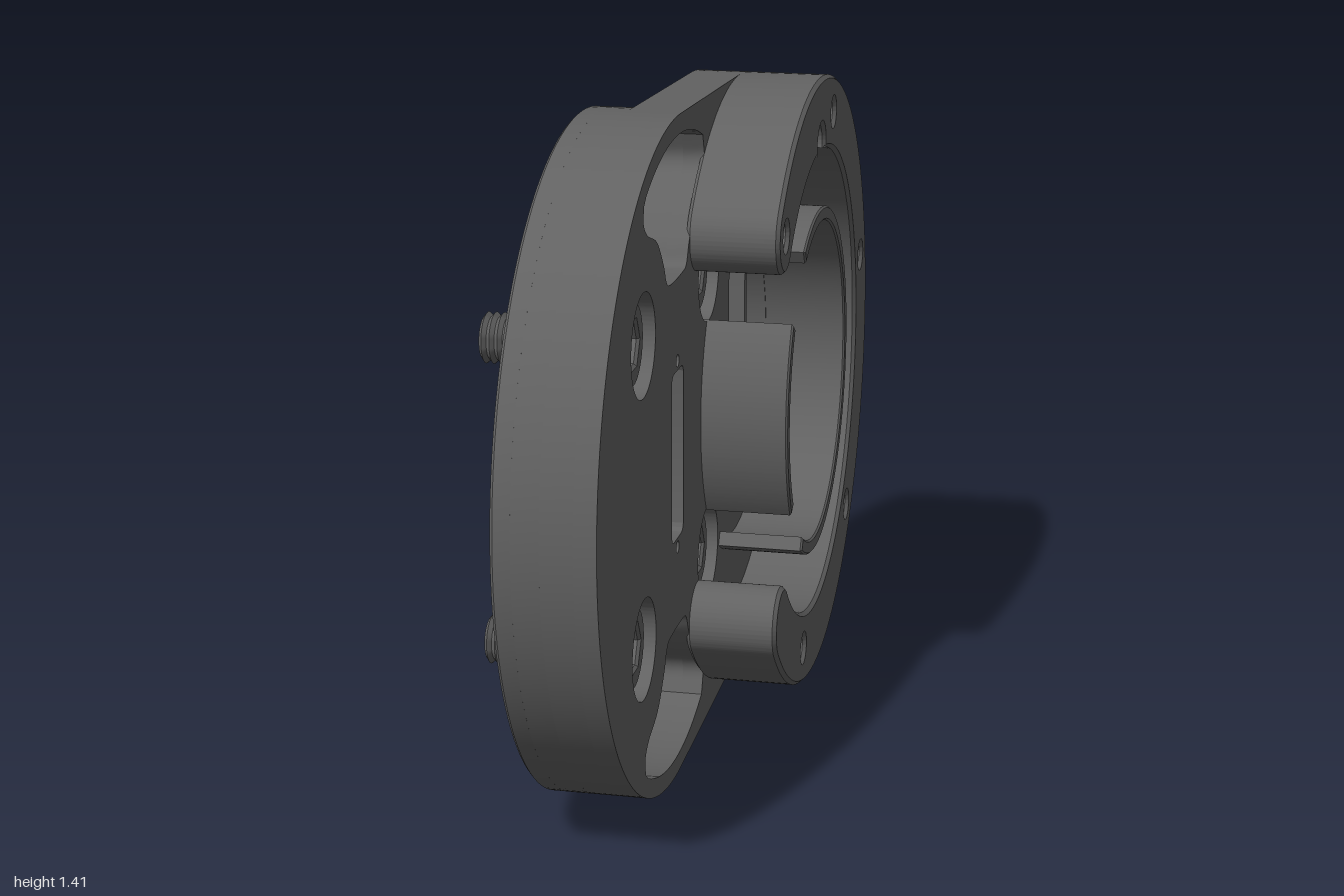
import * as THREE from 'three';
import { toCreasedNormals } from 'three/addons/utils/BufferGeometryUtils.js';

const CY = 0.705;                       // shared centre height
const A = { u: -0.295, r: 0.705 };      // front disc, u = -z
const B = { u: 0.32, r: 0.68 };         // rear disc
const BOSS = 0.4;
const D = Math.PI / 180;
const mat = new THREE.MeshStandardMaterial({ color: 0x626262 });

// Extrude a profile between two x positions
function slab(name, shape, x0, x1, bevel = 0) {
  const g = new THREE.ExtrudeGeometry(shape, {
    depth: x1 - x0 - 2 * bevel, curveSegments: 64, bevelEnabled: bevel > 0,
    bevelThickness: bevel, bevelSize: bevel, bevelOffset: -bevel, bevelSegments: 1,
  });
  g.translate(0, 0, x0 + bevel);
  const m = new THREE.Mesh(toCreasedNormals(g, 0.5), mat);
  m.name = name;
  return m;
}

function circle(u, y, r) {
  return new THREE.Path().absarc(u, y, r, 0, Math.PI * 2, false);
}

// Upright rounded rectangle centred on the middle height
function slot(u, w, h, r) {
  const p = new THREE.Path(), a = w / 2 - r, b = h / 2 - r;
  p.absarc(u + a, CY + b, r, 0, 90 * D, false);
  p.absarc(u - a, CY + b, r, 90 * D, 180 * D, false);
  p.absarc(u - a, CY - b, r, 180 * D, 270 * D, false);
  p.absarc(u + a, CY - b, r, 270 * D, 360 * D, false);
  p.closePath();
  return p;
}

// Crescent window, s = 1 upper, -1 lower
function crescent(s) {
  const pts = [];
  for (let i = 0; i <= 24; i++) {
    const a = (115.5 - i * 46.5 / 24) * D;
    pts.push(new THREE.Vector2(A.u + 0.665 * Math.cos(a), CY + s * 0.665 * Math.sin(a)));
  }
  const inner = [[-0.05, 0.605], [-0.04, 0.57], [-0.06, 0.535], [-0.13, 0.49], [-0.19, 0.425],
    [-0.215, 0.385], [-0.25, 0.375], [-0.37, 0.375], [-0.405, 0.39], [-0.43, 0.43],
    [-0.49, 0.49], [-0.57, 0.52], [-0.605, 0.55], [-0.6, 0.585]]
    .map(([u, y]) => new THREE.Vector2(u, CY + s * y));
  pts.push(...new THREE.SplineCurve(inner).getPoints(50));
  return new THREE.Path().setFromPoints(pts);
}

// Round opening cut off by a chord, corners rounded
function halfMoon() {
  const a = 65 * D, p = new THREE.Path();
  p.absarc(B.u, CY, 0.355, -a, a, false);
  p.quadraticCurveTo(0.432, CY + 0.34, 0.432, CY + 0.285);
  p.lineTo(0.432, CY - 0.285);
  p.quadraticCurveTo(0.432, CY - 0.34, B.u + 0.355 * Math.cos(a), CY - 0.355 * Math.sin(a));
  return p;
}

// Ring segment with square ends
function band(u, r0, r1, a0, a1, Type = THREE.Shape) {
  const s = new Type();
  s.absarc(u, CY, r1, a0 * D, a1 * D, false);
  s.absarc(u, CY, r0, a1 * D, a0 * D, true);
  s.closePath();
  return s;
}

const pinHoles = (u) => [1, -1].map((s) => circle(u, CY + s * 0.2, 0.013));
const boltSpots = [];
for (const u of [-0.61, 0.01]) for (const s of [1, -1]) boltSpots.push([u, CY + s * 0.312]);

// Rear floor: front disc joined with the small boss
function floorShape() {
  const d = B.u - A.u, k = (A.r ** 2 - BOSS ** 2 + d * d) / (2 * d);
  const h = Math.sqrt(A.r ** 2 - k * k);
  const a = Math.atan2(h, k), b = Math.atan2(h, k - d);
  const s = new THREE.Shape();
  s.absarc(A.u, CY, A.r, a, Math.PI * 2 - a, false);
  s.absarc(B.u, CY, BOSS, -b, b, false);
  s.closePath();
  s.holes.push(crescent(1), crescent(-1), halfMoon(), slot(-0.3, 0.18, 0.53, 0.03),
    slot(0.32, 0.11, 0.36, 0.02), ...pinHoles(0.32), circle(-0.69, CY, 0.055));
  return s;
}

// Main plate: both discs joined by tangent sides, with one extra opening
function plateShape(opening) {
  const t = Math.acos((A.r - B.r) / (B.u - A.u));
  const s = new THREE.Shape();
  s.absarc(A.u, CY, A.r, t, Math.PI * 2 - t, false);
  s.absarc(B.u, CY, B.r, -t, t, false);
  s.closePath();
  s.holes.push(crescent(1), crescent(-1), halfMoon(), slot(-0.3, 0.11, 0.36, 0.02),
    ...pinHoles(-0.3), slot(0.32, 0.18, 0.53, 0.03), opening,
    ...boltSpots.map(([u, y]) => circle(u, y, 0.105)));
  return s;
}

// Open ring with round tips, a locating notch and five screw holes
function openRing() {
  const s = new THREE.Shape(), a = 135 * D, q = 0.6 * Math.SQRT1_2;
  s.absarc(B.u, CY, B.r, -a, a, false);
  s.absarc(B.u - q, CY + q, 0.08, a, a + Math.PI, false);
  s.absarc(B.u, CY, 0.52, a, 95.5 * D, true);
  s.absarc(B.u, CY + 0.53, 0.05, 194 * D, -14 * D, true);
  s.absarc(B.u, CY, 0.52, 84.5 * D, -a, true);
  s.absarc(B.u - q, CY - q, 0.08, 45 * D, 225 * D, false);
  s.closePath();
  for (let i = 0; i < 5; i++) {
    const t = (135 - 60 * i) * D;
    s.holes.push(circle(B.u + 0.6 * Math.cos(t), CY + 0.6 * Math.sin(t), 0.03));
  }
  return s;
}

// Socket head bolt with a ridged shaft
function bolt(u, y) {
  const g = new THREE.Group();
  g.name = 'bolt';
  const head = new THREE.Shape().absarc(0, 0, 0.087, 0, Math.PI * 2, false);
  const hex = [];
  for (let i = 0; i < 6; i++) hex.push(new THREE.Vector2(0.05 * Math.cos(i * 60 * D), 0.05 * Math.sin(i * 60 * D)));
  head.holes.push(new THREE.Path().setFromPoints(hex));
  g.add(slab('boltHead', head, -0.046, 0.045, 0.006));

  const pts = [new THREE.Vector2(0, -0.253), new THREE.Vector2(0.042, -0.253)];
  for (let i = 0; i < 10; i++) {
    const x = -0.246 + i * 0.016;
    pts.push(new THREE.Vector2(0.051, x), new THREE.Vector2(0.043, x + 0.008));
  }
  pts.push(new THREE.Vector2(0.05, -0.03), new THREE.Vector2(0, -0.03));
  const shaft = new THREE.Mesh(toCreasedNormals(new THREE.LatheGeometry(pts, 32), 0.5), mat);
  shaft.name = 'boltShaft';
  shaft.rotation.x = Math.PI / 2;
  g.add(shaft);
  g.position.set(u, y, 0);
  return g;
}

export function createModel() {
  const body = new THREE.Group();
  body.name = 'housing';
  body.add(
    slab('rearRim', band(A.u, 0.665, A.r, 38, 322), -0.14, -0.094, 0.006),
    slab('rearFloor', floorShape(), -0.1, -0.045),
    // the rear half of the plate has an arc recess around the boss
    slab('plateRear', plateShape(band(B.u, BOSS, 0.53, -95, 95, THREE.Path)), -0.045, 0.02),
    slab('plateFront', plateShape(slot(0.775, 0.11, 0.36, 0.054)), 0.02, 0.065),
    slab('openRing', openRing(), 0.057, 0.252, 0.008),
    slab('cupWallLarge', band(B.u, 0.358, 0.39, -120, 120), 0.05, 0.252, 0.004),
    slab('cupWallSmall', band(B.u, 0.358, 0.39, 147, 213), 0.05, 0.252, 0.004),
  );
  for (const [u, y] of boltSpots) body.add(bolt(u, y));
  body.rotation.y = Math.PI / 2;        // extrusion axis becomes x

  const model = new THREE.Group();
  model.name = 'model';
  model.add(body);
  return model;
}
